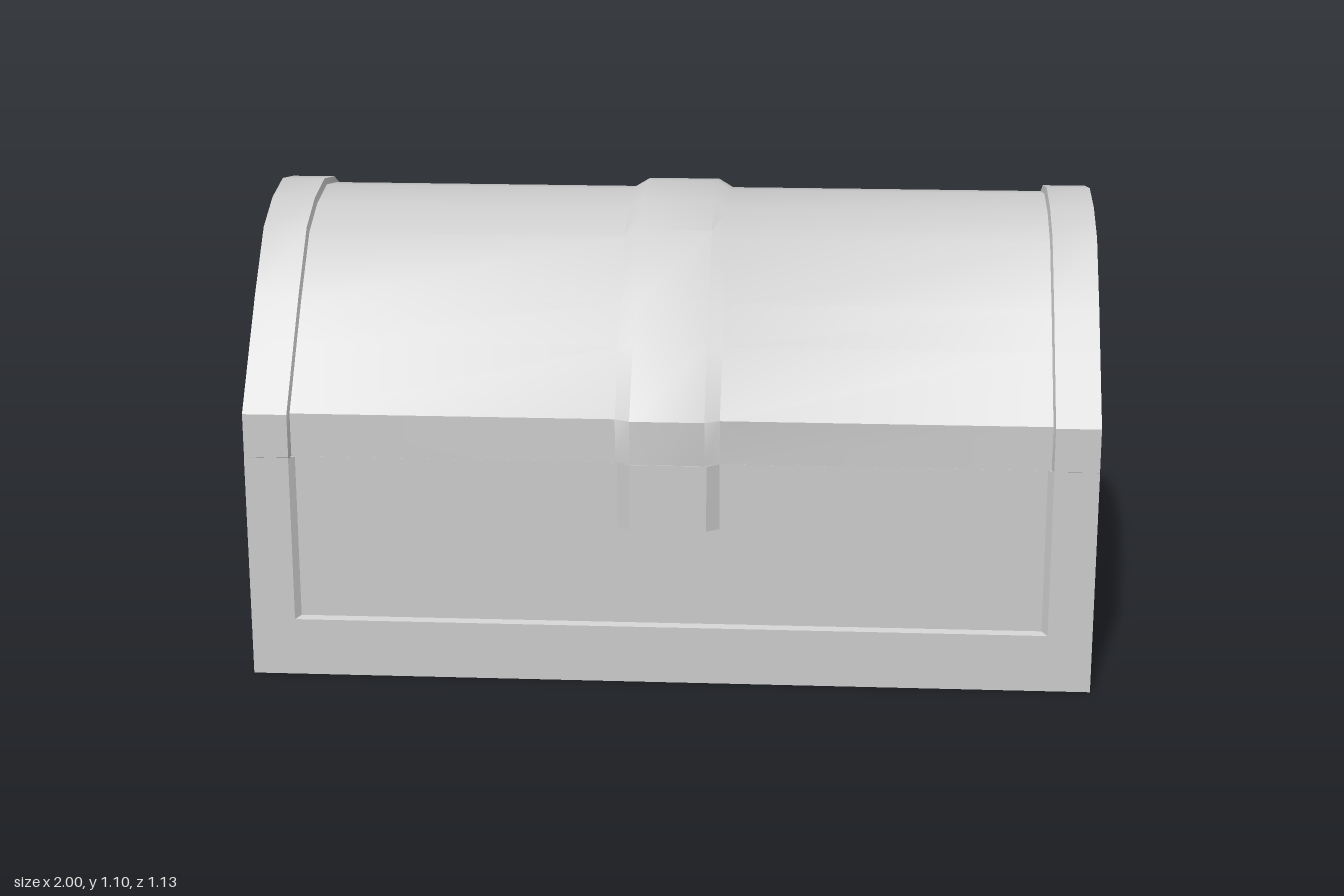
import * as THREE from 'three';
import { toCreasedNormals } from 'three/addons/utils/BufferGeometryUtils.js';

const material = new THREE.MeshStandardMaterial({ color: 0xcccccc, side: THREE.DoubleSide });
const SEAM = 0.545, EAVE = 0.65, RECESS = 0.014;

function mesh(name, geometry, parent) {
  const m = new THREE.Mesh(geometry, material);
  m.name = name;
  parent.add(m);
  return m;
}

// Triangles to geometry, smooth below the crease angle
function surface(triangles, crease) {
  const g = new THREE.BufferGeometry().setFromPoints(triangles);
  return toCreasedNormals(g, crease);
}

// Raised frame around a sunken panel; outlines run counter-clockwise, open at the seam
function framedPanel(outer, inner) {
  const rings = [
    outer.map(([u, v]) => new THREE.Vector3(u, v, 0)),
    inner.map(([u, v]) => new THREE.Vector3(u, v, 0)),
    inner.map(([u, v]) => new THREE.Vector3(u * 0.985, SEAM + (v - SEAM) * 0.985, -RECESS)),
  ];
  const tris = [];
  for (let r = 0; r < 2; r++) {
    const a = rings[r], b = rings[r + 1];
    for (let i = 0; i < a.length - 1; i++) {
      tris.push(a[i], a[i + 1], b[i + 1], a[i], b[i + 1], b[i]);
    }
  }
  const p = rings[2];
  for (let i = 1; i < p.length - 1; i++) tris.push(p[0], p[i], p[i + 1]);
  return surface(tris, 0.3);
}

// Half a lid outline mirrored into a full arch, front to back
const arch = (half) => [...half, ...half.slice(0, -1).reverse().map(([z, y]) => [-z, y])];

const lidOuter = arch([[0.56, SEAM], [0.56, EAVE], [0.44, 0.8], [0.367, 0.89],
  [0.24, 1.027], [0.128, 1.076], [0, 1.097]]);
const lidInner = arch([[0.495, SEAM], [0.495, EAVE], [0.42, 0.765], [0.315, 0.885],
  [0.207, 1.005], [0.13, 1.048], [0, 1.068]]);

// Lid skin: end rims, sunken field and raised central band, lofted along x
function lidSkin() {
  const rim = [1, 1], field = [0.978, 0.966], band = [1.01, 1.014];
  const stations = [[-1, rim], [-0.895, rim], [-0.89, field], [-0.125, field], [-0.09, band],
    [0.085, band], [0.12, field], [0.89, field], [0.895, rim], [1, rim]];
  const rings = stations.map(([x, [sz, sy]]) => lidOuter.map(([z, y]) =>
    new THREE.Vector3(x, y > EAVE ? EAVE + (y - EAVE) * sy : y, z * sz)));
  const tris = [], n = lidOuter.length;
  for (let i = 0; i < rings.length - 1; i++) {
    const a = rings[i], b = rings[i + 1];
    for (let k = 0; k < n; k++) {
      const j = (k + 1) % n;
      tris.push(a[k], b[k], b[j], a[k], b[j], a[j]);
    }
  }
  return surface(tris, 0.65);
}

// Bevelled strap running down the body, outward along -z
function strap(bottom, slope) {
  const s = new THREE.Shape([[-0.12, -0.02], [-0.12, 0], [-0.09, 0.02], [0.09, 0.02], [0.12, 0],
    [0.12, -0.02]].map(([x, y]) => new THREE.Vector2(x, y)));
  const g = new THREE.ExtrudeGeometry(s, { depth: SEAM - bottom, bevelEnabled: false });
  g.rotateX(-Math.PI / 2).translate(0, bottom, 0);
  const p = g.attributes.position;
  for (let i = 0; i < p.count; i++) {
    if (p.getZ(i) > -0.01 && p.getY(i) < bottom + 0.01) p.setY(i, bottom - slope);
  }
  return toCreasedNormals(g, 0.3);
}

export function createModel() {
  const chest = new THREE.Group();
  chest.name = 'chest';
  const body = new THREE.Group();
  body.name = 'body';
  body.position.z = 0.003;
  const lid = new THREE.Group();
  lid.name = 'lid';
  lid.position.z = -0.003;
  chest.add(body, lid);

  // Four framed body walls
  const halfX = 1, halfZ = 0.556;
  const u = (w, bottom) => [[-w, SEAM], [-w, bottom], [w, bottom], [w, SEAM]];
  const walls = [['frontWall', 0, halfX, halfZ, 0.895], ['rightWall', -Math.PI / 2, halfZ, halfX, 0.495],
    ['backWall', Math.PI, halfX, halfZ, 0.895], ['leftWall', Math.PI / 2, halfZ, halfX, 0.495]];
  for (const [name, turn, width, distance, panel] of walls) {
    const g = framedPanel(u(width, 0), u(panel, 0.14));
    mesh(name, g.translate(0, 0, distance).rotateY(turn), body);
  }

  // Floor and closed top of the body
  mesh('floor', new THREE.PlaneGeometry(2 * halfX, 2 * halfZ).rotateX(Math.PI / 2), body);
  mesh('bodyTop', new THREE.PlaneGeometry(2 * (halfX - RECESS), 2 * (halfZ - RECESS))
    .rotateX(-Math.PI / 2).translate(0, SEAM - 0.002, 0), body);

  // Straps: a short clasp in front, a long hinge strap behind
  mesh('frontClasp', strap(0.385, 0).rotateY(Math.PI).translate(0, 0, halfZ - RECESS), body);
  mesh('backStrap', strap(0.2, 0.025).translate(0, 0, -halfZ + RECESS), body);

  // Arched lid with framed gable ends
  mesh('lidSkin', lidSkin(), lid);
  for (const side of [-1, 1]) {
    const g = framedPanel(lidOuter, lidInner);
    mesh(side > 0 ? 'leftGable' : 'rightGable',
      g.translate(0, 0, 1).rotateY(side * Math.PI / 2), lid);
  }
  return chest;
}
